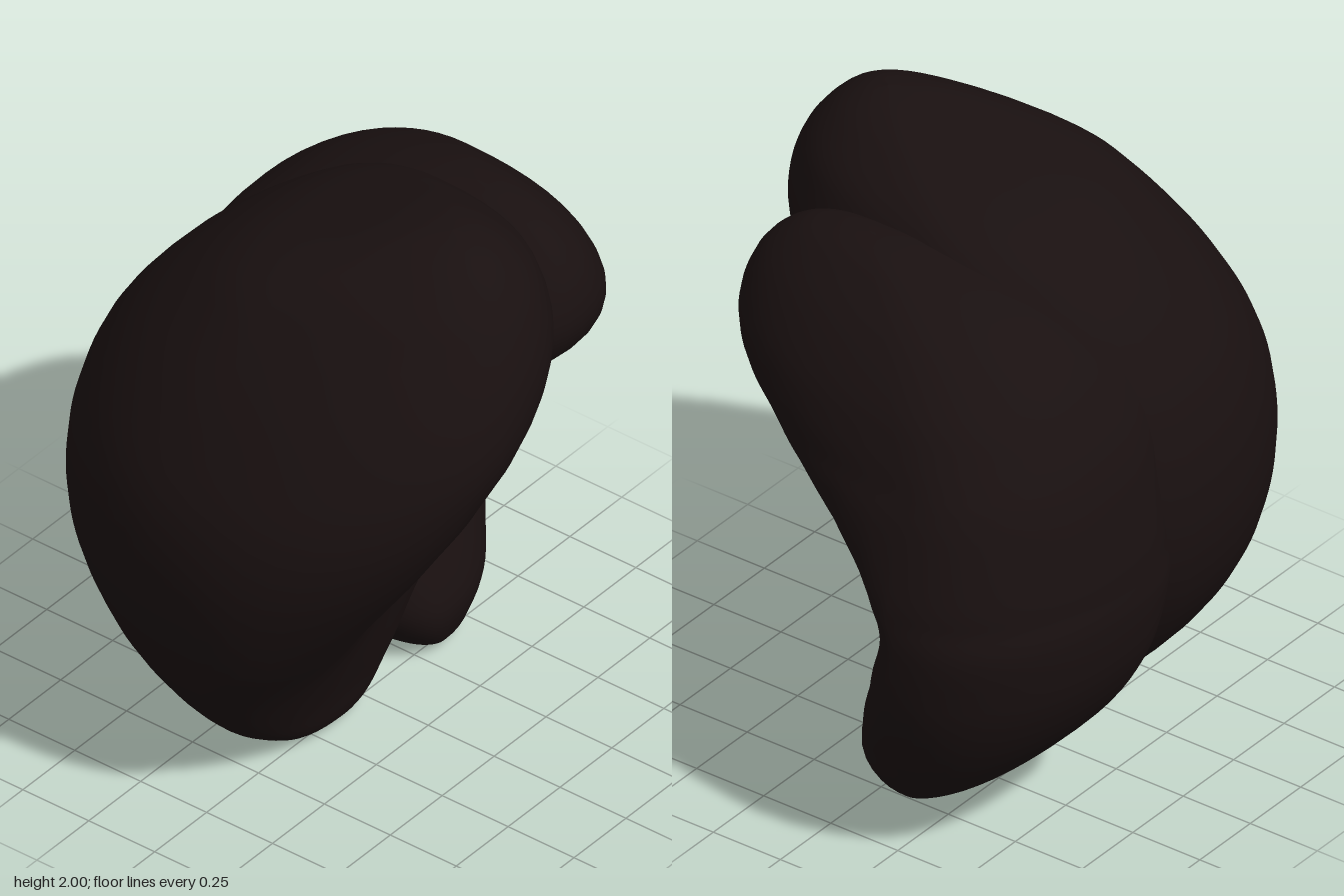
import * as THREE from 'three';

const SIDES = 48, STEPS = 5;
const { clamp, lerp } = THREE.MathUtils;
const material = new THREE.MeshStandardMaterial({ color: 0x191010 });

// Rounded lobe from horizontal slices; each row is [y, x0, x1, z0, z1].
// xm is the x of the front and back peaks, zm the z of the side peaks.
// inner is the sign of x towards the other lobe: the back is squarer there,
// so that the two lobes meet nearly flush.
function lobe(name, rows, xm, zm, inner, shape = (x, y, z) => z) {
  const spline = new THREE.CubicInterpolant(rows.map((_, i) => i), rows.flat(), 5);
  const count = (rows.length - 1) * STEPS;
  const pos = [], index = [];
  for (let i = 0; i <= count; i++) {
    const [y, x0, x1, z0, z1] = spline.evaluate(i / STEPS);
    const cx = clamp(xm, lerp(x0, x1, 0.3), lerp(x0, x1, 0.7));
    const cz = clamp(zm, lerp(z0, z1, 0.32), lerp(z0, z1, 0.68));
    for (let j = 0; j < SIDES; j++) {
      const a = j / SIDES * Math.PI * 2;
      const cos = Math.cos(a), sin = Math.sin(a);
      const power = sin < 0 && cos * inner > 0 ? 2.8 : 2.2;
      const c = Math.sign(cos) * Math.abs(cos) ** (2 / power);
      const s = Math.sign(sin) * Math.abs(sin) ** (2 / power);
      const x = cx + c * (c > 0 ? x1 - cx : cx - x0);
      const z = cz + s * (s > 0 ? z1 - cz : cz - z0);
      pos.push(x, y, shape(x, y, z, s));
      if (i < count) {
        const p = i * SIDES + j, q = i * SIDES + (j + 1) % SIDES;
        index.push(p, p + SIDES, q, q, p + SIDES, q + SIDES);
      }
    }
  }
  const geo = new THREE.BufferGeometry();
  geo.setAttribute('position', new THREE.Float32BufferAttribute(pos, 3));
  geo.setIndex(index);
  geo.computeVertexNormals();
  const mesh = new THREE.Mesh(geo, material);
  mesh.name = name;
  return mesh;
}

export function createModel() {
  const group = new THREE.Group();
  group.name = 'twoLobedBody';

  // Large lobe: leaning front face with a slanting hollow beside the small lobe
  const hollow = (x, y, z, s) => z - 0.42 * Math.max(s, 0)
    * Math.exp(-(((x - 0.17) / 0.47) ** 2) - ((y - 1.05 - 0.35 * (x - 0.15)) / 0.48) ** 2);
  group.add(lobe('largeLobe', [
    [0.00, -0.17, -0.17, -0.03, -0.03],
    [0.015, -0.27, -0.08, -0.11, 0.03],
    [0.06, -0.40, 0.02, -0.20, 0.07],
    [0.20, -0.60, 0.12, -0.37, 0.13],
    [0.40, -0.75, 0.18, -0.57, 0.25],
    [0.60, -0.85, 0.27, -0.70, 0.40],
    [0.80, -0.91, 0.35, -0.76, 0.56],
    [1.00, -0.93, 0.38, -0.77, 0.70],
    [1.20, -0.90, 0.38, -0.74, 0.80],
    [1.40, -0.81, 0.36, -0.66, 0.85],
    [1.60, -0.69, 0.34, -0.49, 0.82],
    [1.80, -0.53, 0.26, -0.22, 0.73],
    [1.92, -0.36, 0.11, 0.10, 0.63],
    [1.98, -0.23, -0.01, 0.30, 0.53],
    [2.00, -0.12, -0.12, 0.44, 0.44],
  ], -0.15, 0.05, 1, hollow));

  // Small lobe: overhanging upper bulge, waist notch and lower bulge
  group.add(lobe('smallLobe', [
    [0.00, 0.40, 0.40, -0.06, -0.06],
    [0.015, 0.30, 0.48, -0.15, 0.02],
    [0.06, 0.20, 0.57, -0.25, 0.07],
    [0.20, 0.08, 0.71, -0.45, 0.10],
    [0.40, 0.02, 0.83, -0.64, 0.02],
    [0.60, -0.04, 0.90, -0.75, -0.09],
    [0.80, -0.08, 0.92, -0.79, -0.16],
    [0.92, -0.08, 0.915, -0.785, -0.12],
    [1.02, -0.08, 0.90, -0.775, 0.01],
    [1.20, -0.09, 0.85, -0.74, 0.33],
    [1.30, -0.11, 0.81, -0.71, 0.48],
    [1.40, -0.13, 0.77, -0.66, 0.58],
    [1.52, -0.08, 0.71, -0.57, 0.61],
    [1.66, 0.06, 0.60, -0.39, 0.56],
    [1.76, 0.18, 0.48, -0.15, 0.44],
    [1.80, 0.25, 0.40, 0.04, 0.30],
    [1.81, 0.32, 0.32, 0.18, 0.18],
  ], 0.29, -0.33, -1));
  return group;
}
